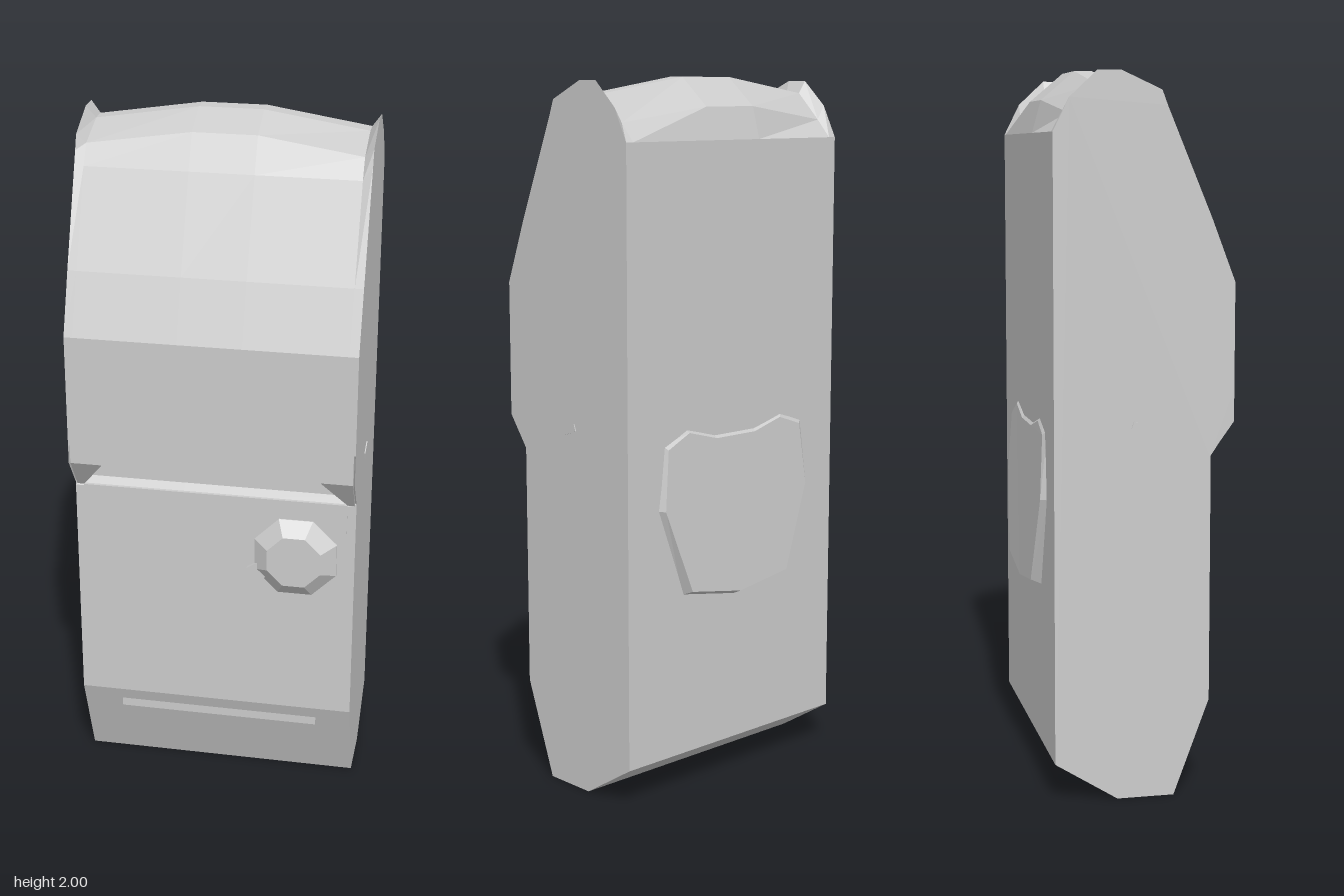
import * as THREE from 'three';

const mat = new THREE.MeshStandardMaterial({ color: 0xcccccc, flatShading: true, side: THREE.DoubleSide });

function part(name, geo, x = 0, y = 0, z = 0) {
  const m = new THREE.Mesh(geo, mat);
  m.name = name;
  m.position.set(x, y, z);
  return m;
}

function extrude(points, depth, z) {
  const shape = new THREE.Shape(points.map(([x, y]) => new THREE.Vector2(x, y)));
  return new THREE.ExtrudeGeometry(shape, { depth, bevelEnabled: false }).translate(0, 0, z);
}

// Moves vertices by a rule and refreshes the normals
function reshape(geo, rule) {
  const p = geo.attributes.position, v = new THREE.Vector3();
  for (let i = 0; i < p.count; i++) {
    rule(v.fromBufferAttribute(p, i));
    p.setXYZ(i, v.x, v.y, v.z);
  }
  geo.computeVertexNormals();
  return geo;
}

// Side profiles as [z, y], running up the front and down the back
const low = [[0.1, 0], [0.2, 0.27], [0.2, 0.95]];
const slope = [[0.265, 1.14], [0.265, 1.43], [0.2, 1.6]];
const back = [[-0.235, 1.83], [-0.235, 0.11], [-0.06, 0]];
const recess = [[0.17, 0.97], [0.17, 1.05], [0.17, 1.14]];
const cheek = [[0.2, 0.96], [0.265, 1.05], [0.265, 1.1]];
const profile = (mid, top) => [...low, ...mid, ...slope, ...top, ...back];
const endProfile = profile(cheek, [[0.075, 1.9], [0.06, 1.94], [-0.05, 1.99], [-0.115, 1.99], [-0.19, 1.92]]);
const shoulder = profile(recess, [[0.085, 1.86], [0.05, 1.915], [-0.065, 1.955], [-0.115, 1.955], [-0.19, 1.88]]);
const middle = profile(recess, [[0.085, 1.86], [0.035, 1.955], [-0.065, 2], [-0.115, 2], [-0.21, 1.92]]);

function bodyGeometry() {
  const sections = [[-0.405, endProfile], [-0.38, shoulder], [-0.09, middle],
    [0.09, middle], [0.38, shoulder], [0.405, endProfile]];
  const n = endProfile.length, pos = [], index = [];
  for (const [x, pts] of sections) for (const [z, y] of pts) pos.push(x, y, z);
  for (let s = 0; s < sections.length - 1; s++) {
    for (let i = 0; i < n; i++) {
      const a = s * n + i, b = s * n + (i + 1) % n, c = b + n, d = a + n;
      index.push(a, d, c, a, c, b);
    }
  }
  // Flat ends
  const last = (sections.length - 1) * n;
  const contour = endProfile.map(([z, y]) => new THREE.Vector2(z, y));
  for (const [a, b, c] of THREE.ShapeUtils.triangulateShape(contour, [])) {
    index.push(a, b, c, last + a, last + c, last + b);
  }
  const g = new THREE.BufferGeometry();
  g.setAttribute('position', new THREE.Float32BufferAttribute(pos, 3));
  g.setIndex(index);
  const flat = g.toNonIndexed();
  flat.computeVertexNormals();
  return flat;
}

export function createModel() {
  const group = new THREE.Group();
  group.name = 'dispenser';
  group.add(part('body', bodyGeometry()));

  // Front hood with an arched opening
  const arch = [[0.31, 1.05], [0.2, 1.105], [0.1, 1.128]];
  const mirrored = arch.map(([x, y]) => [-x, y]);
  group.add(part('archedHood', extrude(
    [[-0.4, 1.05], ...mirrored, ...arch.slice().reverse(), [0.4, 1.05], [0.4, 1.15], [-0.4, 1.15]],
    0.1, 0.165)));
  for (const s of [-1, 1]) {
    // Chamfered lower corners of the hood
    const corner = extrude([[s * 0.38, 0.955], [s * 0.4, 0.955], [s * 0.4, 1.05], [s * 0.31, 1.05]], 0.1, 0.165);
    group.add(part('hoodCorner', reshape(corner, v => {
      if (v.z > 0.2) v.z = 0.2 + 0.065 * (v.y - 0.955) / 0.095;
    })));
    // Small mark on each side
    group.add(part('sideTab', new THREE.BoxGeometry(0.006, 0.02, 0.05).rotateX(0.35), s * 0.405, 1.04, 0.005));
  }

  // Plate below the opening
  group.add(part('trayPlate', extrude(
    [[-0.38, 0.835], [0.38, 0.835], [0.38, 0.955], [-0.38, 0.955]], 0.022, 0.18)));

  // Faceted knob with a short pointer
  const knob = new THREE.Group();
  knob.name = 'knob';
  knob.position.set(0.235, 0.778, 0.19);
  const steps = [[0.13, 0], [0.128, 0.014], [0.083, 0.049], [0, 0.049]];
  const dial = new THREE.LatheGeometry(steps.map(([r, y]) => new THREE.Vector2(r, y)), 8);
  knob.add(part('dial', dial.rotateX(Math.PI / 2).rotateZ(Math.PI / 8)));
  knob.add(part('pointer', extrude([[-0.14, -0.045], [-0.09, -0.085], [-0.07, 0.0]], 0.022, 0)));
  group.add(knob);

  // Narrow strip near the bottom
  group.add(part('bottomStrip', new THREE.BoxGeometry(0.59, 0.032, 0.03), 0.007, 0.22, 0.17));

  // Wedge-shaped back pad, thicker toward the bottom
  const outline = [[0, 0.54], [0.2, 0.575], [0.295, 0.83], [0.275, 1.01], [0.19, 1.05], [0.08, 1.02],
    [-0.08, 1.02], [-0.19, 1.05], [-0.275, 1.02], [-0.295, 0.83], [-0.2, 0.57]];
  group.add(part('backPad', reshape(extrude(outline, 0.03, -0.26), v => {
    if (v.z > -0.24) return;
    v.z = -0.24 - 0.024 * Math.min(1, (1.05 - v.y) / 0.45);
    v.x *= 0.95;
    v.y = 0.8 + (v.y - 0.8) * 0.94;
  })));

  return group;
}
